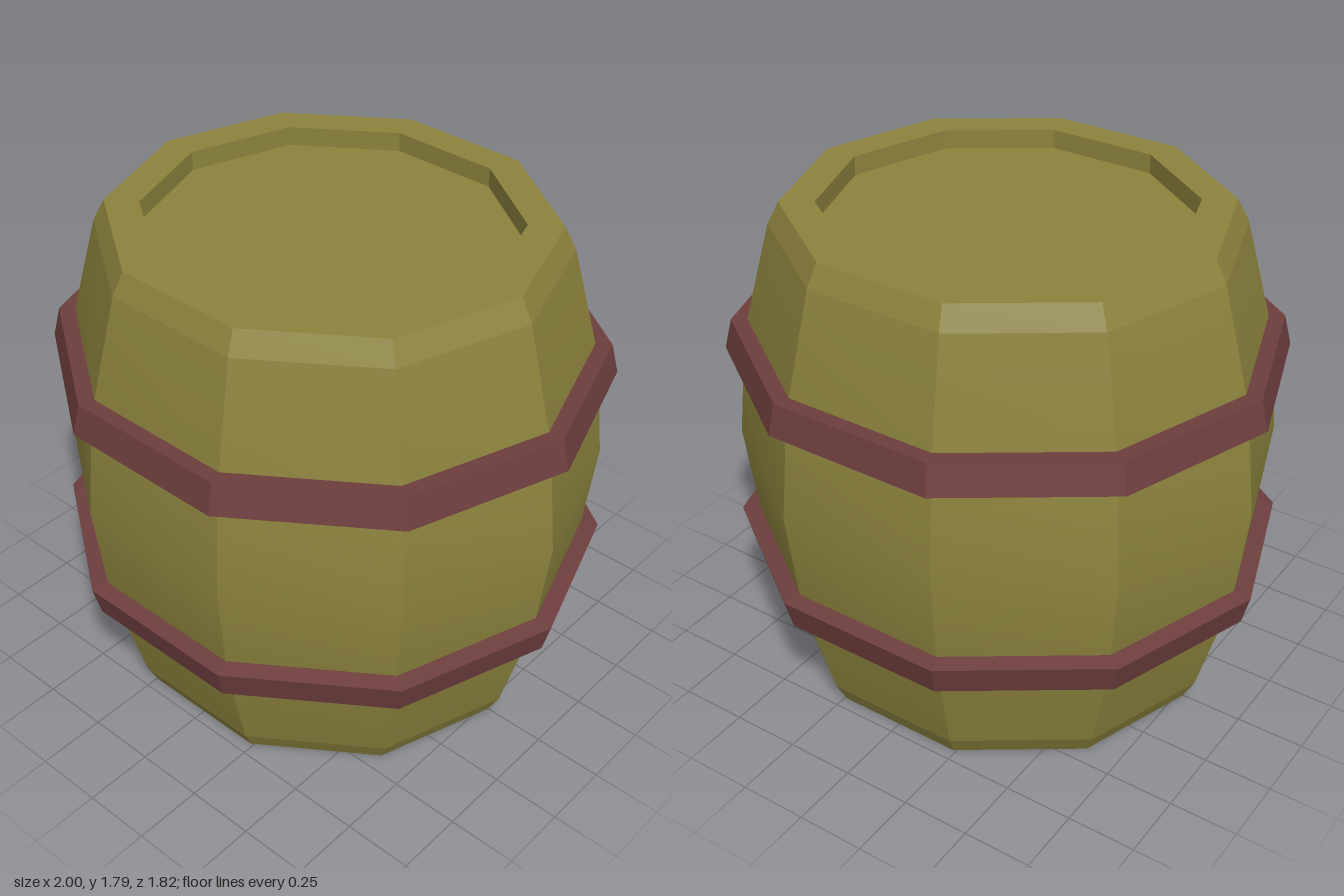
import * as THREE from 'three';
import { toCreasedNormals } from 'three/addons/utils/BufferGeometryUtils.js';

const HEIGHT = 1.786, SIDES = 10, DEPTH_SCALE = 0.957;

// Ten-sided ring from [radius, y] points, with a corner on the x axis
function ring(name, points, material, crease) {
  const profile = points.map(([r, y]) => new THREE.Vector2(r, y));
  const lathe = new THREE.LatheGeometry(profile, SIDES, Math.PI / 2);
  lathe.scale(1, 1, DEPTH_SCALE);
  const mesh = new THREE.Mesh(toCreasedNormals(lathe, crease), material);
  mesh.name = name;
  return mesh;
}

// Same profile turned upside down about mid-height, order kept bottom to top
const flip = (points) => points.map(([r, y]) => [r, HEIGHT - y]).reverse();

export function createModel() {
  const wood = new THREE.MeshStandardMaterial({ color: 0x8c833d });
  const metal = new THREE.MeshStandardMaterial({ color: 0x6e3e3e });
  const barrel = new THREE.Group();
  barrel.name = 'barrel';

  // Bulging staves
  const lowerHalf = [[0.815, 0.08], [0.93, 0.5], [0.974, HEIGHT / 2]];
  const staves = [...lowerHalf, ...flip(lowerHalf).slice(1)];
  barrel.add(ring('staves', staves, wood, 0.5));

  // Ends: recessed lid, rim and bevelled edge
  const top = [[0.815, HEIGHT - 0.08], [0.773, HEIGHT], [0.65, HEIGHT], [0.65, HEIGHT - 0.07], [0, HEIGHT - 0.07]];
  barrel.add(ring('topEnd', top, wood, 0.1));
  barrel.add(ring('bottomEnd', flip(top), wood, 0.1));

  // Hoops, tapering away from the middle
  const hoop = [[0.9, 1.225], [0.94, 1.225], [1, 1.235], [0.972, 1.345], [0.9, 1.345]];
  barrel.add(ring('upperHoop', hoop, metal, 0.1));
  barrel.add(ring('lowerHoop', flip(hoop), metal, 0.1));

  return barrel;
}
